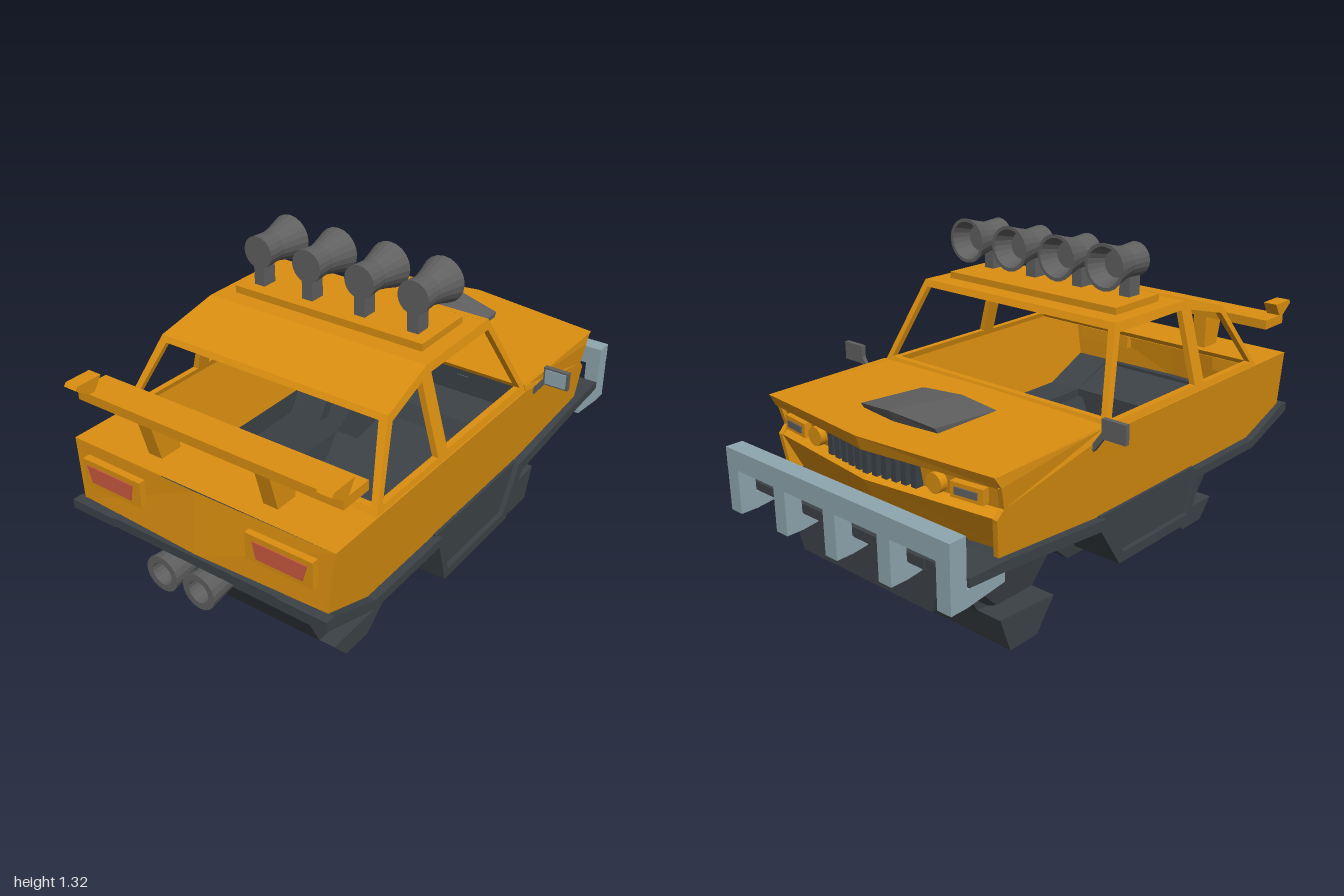
import * as THREE from 'three';

const mat = (name, color, side = THREE.FrontSide) => {
  const m = new THREE.MeshStandardMaterial({ color, side });
  m.name = name;
  return m;
};

export function createModel() {
  const car = new THREE.Group();
  car.name = 'offRoadCar';
  const orange = mat('orange paint', 0xdb8f10, THREE.DoubleSide);
  const dark = mat('dark underbody', 0x3c4247, THREE.DoubleSide);
  const grey = mat('lamp grey', 0x606060, THREE.DoubleSide);
  const steel = mat('pale steel', 0x8fa6b0);
  const red = mat('tail light red', 0xcb5a41);

  const add = (name, geo, material) => {
    const m = new THREE.Mesh(geo, material);
    m.name = name;
    car.add(m);
    return m;
  };
  const flat = (geo) => {
    const g = geo.index ? geo.toNonIndexed() : geo;
    g.computeVertexNormals();
    return g;
  };
  const warp = (geo, rule) => {
    const p = geo.attributes.position, v = new THREE.Vector3();
    for (let i = 0; i < p.count; i++) {
      rule(v.fromBufferAttribute(p, i));
      p.setXYZ(i, v.x, v.y, v.z);
    }
    return flat(geo);
  };
  const box = (name, x0, x1, y0, y1, z0, z1, material) =>
    add(name, new THREE.BoxGeometry(x1 - x0, y1 - y0, z1 - z0)
      .translate((x0 + x1) / 2, (y0 + y1) / 2, (z0 + z1) / 2), material);
  const makeShape = (pts, holes = []) => {
    const s = new THREE.Shape(pts.map(([a, b]) => new THREE.Vector2(a, b)));
    holes.forEach((h) => s.holes.push(new THREE.Path(h.map(([a, b]) => new THREE.Vector2(a, b)))));
    return s;
  };
  // Side profile given as [z, y], extruded from x0 to x1
  const profile = (pts, x0, x1, holes = []) => {
    const f = (l) => l.map(([z, y]) => [-z, y]);
    return new THREE.ExtrudeGeometry(makeShape(f(pts), holes.map(f)), { depth: x1 - x0, bevelEnabled: false })
      .rotateY(Math.PI / 2).translate(x0, 0, 0);
  };
  const bothSides = (name, pts, x0, x1, material, holes, rule = () => {}) => {
    add(name + 'Left', warp(profile(pts, x0, x1, holes), rule), material);
    add(name + 'Right', warp(profile(pts, -x1, -x0, holes), rule), material);
  };
  // Faceted surface through rows of [x, y, z] points
  const sheet = (name, rows, material) => {
    const n = rows[0].length, idx = [], g = new THREE.BufferGeometry();
    for (let i = 0; i < rows.length - 1; i++)
      for (let j = 0; j < n - 1; j++) {
        const a = i * n + j, b = a + n;
        idx.push(a, b, a + 1, a + 1, b, b + 1);
      }
    g.setAttribute('position', new THREE.Float32BufferAttribute(rows.flat(2), 3));
    g.setIndex(idx);
    return add(name, flat(g), material);
  };

  // Body sides lean inward above and below the belt line
  const lean = (v) => {
    const k = v.y > 0.745 ? 0.27 * (v.y - 0.745) : 0.1 * (0.745 - v.y);
    v.x -= Math.sign(v.x) * k;
  };
  bothSides('bodySide', [[0.95, 0.745], [0.963, 0.51], [0.74, 0.41], [-0.24, 0.41], [-0.76, 0.465],
    [-0.78, 0.61], [-0.75, 0.64], [-0.77, 0.72], [-0.8, 0.765], [-0.24, 0.77], [-0.24, 0.745]], 0.545, 0.565, orange, [], lean);
  bothSides('cabinSide', [[0.73, 0.745], [0.565, 1.01], [0.32, 1.075], [-0.09, 1.08], [-0.24, 0.765], [-0.24, 0.745]],
    0.535, 0.56, orange, [
      [[0.69, 0.765], [0.36, 0.765], [0.36, 1.035], [0.55, 0.985]],
      [[0.3, 0.77], [-0.21, 0.77], [-0.075, 1.045], [0.3, 1.045]]], lean);

  // Window frames, slanted along the cabin ends
  const frame = (name, y0, y1, w0, w1, hole, zAt) => add(name, warp(new THREE.ExtrudeGeometry(
    makeShape([[-w0, y0], [w0, y0], [w1, y1], [-w1, y1]], [hole]), { depth: 0.025, bevelEnabled: false }),
  (v) => { v.z += zAt(v.y); }), orange);
  frame('rearWindowFrame', 0.745, 1.01, 0.558, 0.488,
    [[-0.53, 0.765], [0.53, 0.765], [0.46, 0.99], [-0.46, 0.99]], (y) => 0.705 - (y - 0.745) * 0.62);
  frame('windscreenFrame', 0.765, 1.08, 0.553, 0.468,
    [[-0.525, 0.782], [0.525, 0.782], [0.448, 1.055], [-0.448, 1.055]], (y) => -0.24 + (y - 0.765) * 0.476);

  // Roof, rear deck, tail, hood and nose
  const across = (pts) => pts.map(([z, y, w]) => [[-w, y, z], [w, y, z]]);
  sheet('roof', across([[0.565, 1.01, 0.488], [0.32, 1.076, 0.472], [-0.09, 1.08, 0.47]]), orange);
  sheet('rearDeck', across([[0.70, 0.745, 0.56], [0.95, 0.745, 0.56]]), orange);
  sheet('tailPanel', [[[-0.56, 0.745, 0.95], [0, 0.745, 0.955], [0.56, 0.745, 0.95]],
    [[-0.538, 0.5, 0.963], [0, 0.5, 0.985], [0.538, 0.5, 0.963]]], orange);
  sheet('hood', [[[-0.565, 0.768, -0.24], [0, 0.775, -0.24], [0.565, 0.768, -0.24]],
    [[-0.565, 0.765, -0.8], [0, 0.775, -0.87], [0.565, 0.765, -0.8]]], orange);
  const nose = [[-0.87, 0.765], [-0.85, 0.72], [-0.82, 0.715], [-0.805, 0.63], [-0.845, 0.61], [-0.775, 0.465]];
  const noseX = (y) => 0.56 - (0.745 - y) * 0.1;
  sheet('nosePanel', nose.map(([z, y], i) => [[-noseX(y), y, z + 0.07], [0, i ? y : 0.775, z], [noseX(y), y, z + 0.07]]), orange);

  // Hood scoop: a crowned wedge closed at both ends
  const loop = (x, back, tip, low) => [[x, ...back], [x, ...tip], [x, ...low], [x, ...back]];
  const end = (x) => Array(4).fill([x, 0.775, -0.58]);
  const rim = (x) => loop(x, [0.772, -0.385], [0.793, -0.685], [0.768, -0.67]);
  sheet('hoodScoop', [end(-0.185), rim(-0.185), loop(0, [0.782, -0.37], [0.82, -0.72], [0.776, -0.7]), rim(0.185), end(0.185)], grey);

  // Grille bars, round lamps and corner lamps
  const noseZ = (x) => -0.825 + Math.abs(x) * 0.125;
  for (let i = -5; i <= 5; i++) {
    const x = i * 0.042;
    box('grilleBar', x - 0.012, x + 0.012, 0.63, 0.715, noseZ(x) - 0.012, noseZ(x) + 0.02, dark);
  }
  for (const s of [-1, 1]) {
    const lamp = add('noseLamp', new THREE.CylinderGeometry(0.036, 0.036, 0.03, 14).rotateX(Math.PI / 2), orange);
    lamp.position.set(s * 0.3, 0.672, noseZ(0.3) - 0.005);
    const corner = add('cornerLamp', new THREE.BoxGeometry(0.13, 0.055, 0.03), orange);
    corner.position.set(s * 0.43, 0.672, noseZ(0.43) - 0.005);
    corner.rotation.y = -s * 0.124;
    const slit = add('cornerLampSlit', new THREE.BoxGeometry(0.09, 0.025, 0.008), grey);
    slit.position.set(s * 0.43, 0.672, noseZ(0.43) - 0.022);
    slit.rotation.y = -s * 0.124;

    // Tail lights
    box('tailLightFrame', s * 0.365 - 0.135, s * 0.365 + 0.135, 0.597, 0.7, 0.94, 0.982, orange);
    add('tailLight', new THREE.ExtrudeGeometry(makeShape([[0.275, 0.615], [0.46, 0.615], [0.48, 0.68], [0.262, 0.68]]
      .map(([x, y]) => [s * x, y])), { depth: 0.006, bevelEnabled: false }).translate(0, 0, 0.98), red);

    // Door mirrors on bent stalks
    add('mirrorStalk', new THREE.ExtrudeGeometry(makeShape([[0.555, 0.72], [0.565, 0.7], [0.612, 0.765], [0.612, 0.8], [0.595, 0.775]]
      .map(([x, y]) => [s * x, y])), { depth: 0.016, bevelEnabled: false }).translate(0, 0, -0.323), grey);
    box('mirrorShell', s * 0.65 - 0.05, s * 0.65 + 0.05, 0.758, 0.83, -0.325, -0.306, grey);
    box('mirrorGlass', s * 0.65 - 0.042, s * 0.65 + 0.042, 0.765, 0.823, -0.306, -0.302, steel);
  }

  // Rear wing with end plates and struts
  add('wingBlade', flat(profile([[0.91, 0.88], [0.91, 0.917], [0.78, 0.917], [0.78, 0.88]], -0.565, 0.565)), orange);
  bothSides('wingTip', [[0.91, 0.915], [0.965, 0.955], [0.955, 0.968], [0.85, 0.968], [0.885, 0.915]], 0.508, 0.565, orange);
  bothSides('wingStrut', [[0.91, 0.885], [0.875, 0.745], [0.785, 0.745], [0.785, 0.885]], 0.222, 0.282, orange);

  // Roof plate with four backswept lamps
  box('roofPlate', -0.41, 0.41, 1.075, 1.105, -0.01, 0.25, orange);
  const lampPts = [[0, 0.2], [0.063, 0.2], [0.058, 0.12], [0.072, 0.06], [0.087, 0.01], [0.074, 0.01], [0.05, 0.08], [0, 0.08]];
  for (const x of [-0.337, -0.115, 0.115, 0.337]) {
    const g = new THREE.LatheGeometry(lampPts.map(([r, z]) => new THREE.Vector2(r, z)), 20).rotateX(Math.PI / 2);
    add('roofLamp', flat(g), grey).position.set(x, 1.235, 0);
    box('lampPost', x - 0.023, x + 0.023, 1.1, 1.19, 0.135, 0.198, grey);
  }

  // Dark trim band that dips around the sill
  bothSides('trimBand', [[1, 0.51], [0.96, 0.51], [0.74, 0.42], [0.33, 0.42], [0.28, 0.25], [-0.13, 0.25], [-0.235, 0.42],
    [-0.76, 0.468], [-0.92, 0.472], [-0.92, 0.44], [-0.76, 0.43], [-0.265, 0.38], [-0.155, 0.212], [0.3, 0.212], [0.345, 0.385], [0.74, 0.385], [1, 0.475]],
  0.36, 0.565, dark);
  bothSides('sillPanel', [[0.34, 0.425], [0.29, 0.23], [-0.14, 0.23], [-0.25, 0.425]], 0.515, 0.545, dark);
  const tailTrim = profile([[0.985, 0.51], [0.75, 0.42], [0.75, 0.385], [0.985, 0.475]], -0.37, 0.37);
  add('tailTrim', flat(tailTrim), dark);
  box('tailTrimEdge', -0.37, 0.37, 0.475, 0.511, 0.95, 0.996, dark);
  box('noseTrim', -0.37, 0.37, 0.435, 0.472, -0.925, -0.7, dark);

  // Underbody hull, open at the top, narrowing downward
  const hull = [[0.8, 0.42], [0.8, 0.24], [0.73, 0.11], [0.66, 0.04], [0.53, 0.04], [0.43, 0.11], [0.33, 0.24],
    [0.28, 0.145], [-0.15, 0.145], [-0.26, 0.24], [-0.36, 0.12], [-0.45, 0.02], [-0.59, 0.02], [-0.64, 0.14],
    [-0.68, 0.215], [-0.865, 0.24], [-0.865, 0.44]];
  const hullW = (y) => 0.32 + Math.max(0, y - 0.2) * 0.33;
  sheet('hullBottom', across(hull.map(([z, y]) => [z, y, hullW(y)])), dark);
  for (const s of [-1, 1])
    add('hullSide', warp(new THREE.ShapeGeometry(makeShape(hull)), (v) => { v.set(s * hullW(v.y), v.y, v.x); }), dark);

  // Wide axle housings
  add('rearAxleHousing', flat(profile([[0.73, 0.112], [0.66, 0.03], [0.53, 0.03], [0.43, 0.112]], -0.385, 0.385)), dark);
  add('frontAxleHousing', flat(profile([[-0.36, 0.122], [-0.45, 0.003], [-0.59, 0.003], [-0.64, 0.142]], -0.43, 0.43)), dark);

  // Twin exhausts
  const pipe = [[0.045, 0.72], [0.045, 0.97], [0.072, 0.97], [0.058, 0.84], [0.055, 0.64], [0, 0.64]];
  for (const x of [-0.18, -0.01]) {
    const g = new THREE.LatheGeometry(pipe.map(([r, z]) => new THREE.Vector2(r, z)), 18).rotateX(Math.PI / 2);
    add('exhaust', flat(g), grey).position.set(x, 0.333, 0);
    add('exhaustCore', new THREE.CircleGeometry(0.046, 18), dark).position.set(x, 0.333, 0.9);
  }

  // Bull bar: top rail and five L-shaped brackets
  box('bullBarRail', -0.565, 0.565, 0.545, 0.622, -1, -0.93, steel);
  for (let i = -2; i <= 2; i++) {
    const x = i * 0.267;
    add('bullBarBracket', flat(profile([[-0.93, 0.55], [-0.93, 0.437], [-0.76, 0.437], [-0.76, 0.395], [-0.93, 0.375], [-1, 0.375], [-1, 0.55]], x - 0.03, x + 0.03)), steel);
  }
  return car;
}
